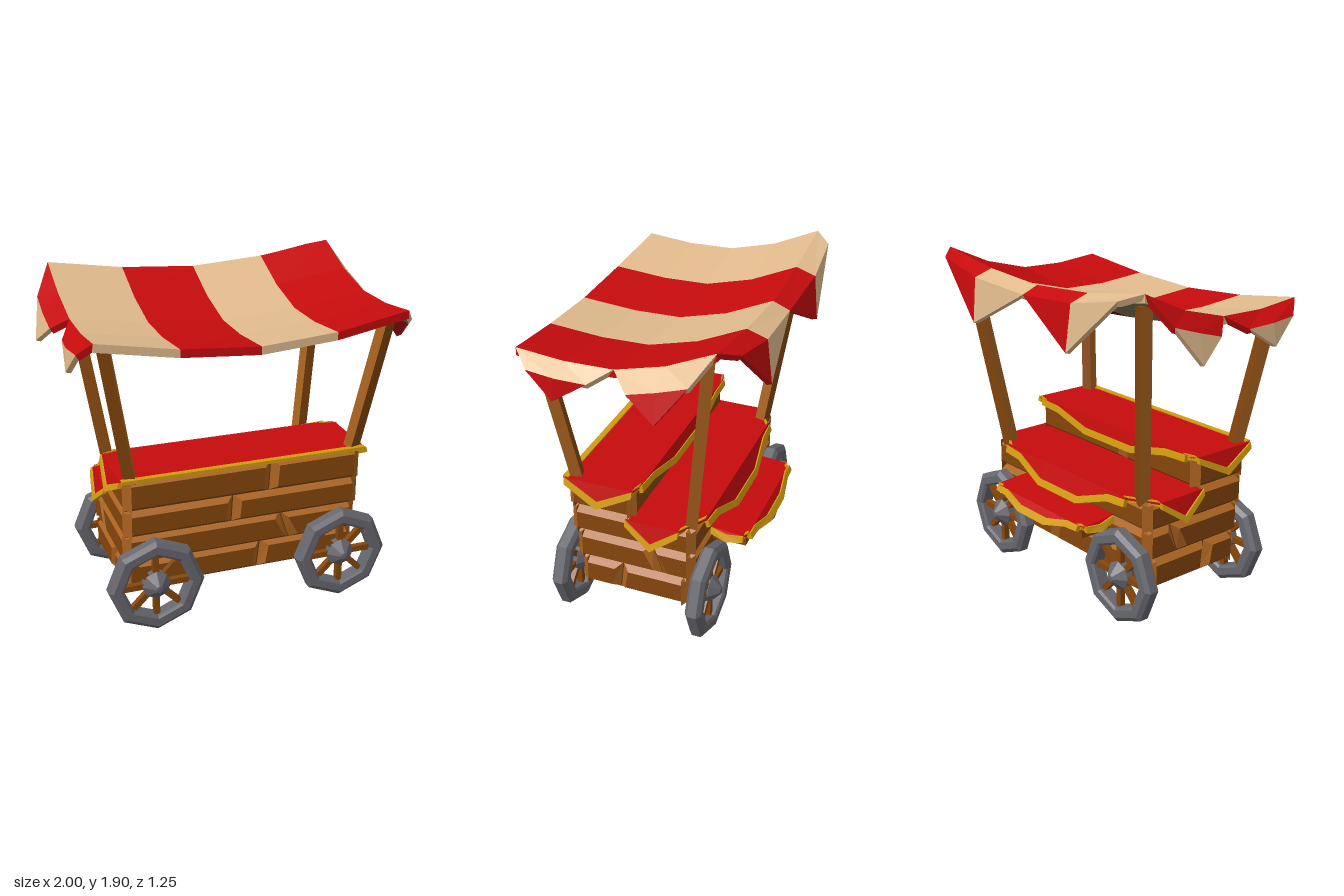
import * as THREE from 'three';

const material = (name, color, side = THREE.FrontSide) => {
  const m = new THREE.MeshStandardMaterial({ color, side });
  m.name = name;
  return m;
};
const wood = material('wood', 0x86460c);
const lightWood = material('light wood', 0xa9621f);
const darkWood = material('dark wood', 0x65390c);
const iron = material('iron', 0x66666e);
const red = material('red cloth', 0xc60b0c, THREE.DoubleSide);
const cream = material('cream cloth', 0xe0ba8c, THREE.DoubleSide);
const gold = material('gold trim', 0xd29c0e, THREE.DoubleSide);
const redUnder = material('red underside', 0x6a060a, THREE.DoubleSide);
const creamUnder = material('cream underside', 0x7c7058, THREE.DoubleSide);
const redSheet = [red, redUnder], creamSheet = [cream, creamUnder];

function flatMesh(geometry, mat, name, parent) {
  const g = geometry.index ? geometry.toNonIndexed() : geometry;
  g.computeVertexNormals();
  const mesh = new THREE.Mesh(g, mat);
  mesh.name = name;
  parent.add(mesh);
  return mesh;
}

// Thick sheet between polylines a and b, thickened by the vector off;
// mats holds the outer colour and the colour of the offset side
function slab(a, b, off, mats, name, parent) {
  const outer = [], inner = [];
  const add = (p) => p.map((v, i) => v + off[i]);
  const quad = (list, p, q, r, s) => list.push(...p, ...q, ...r, ...p, ...r, ...s);
  const n = a.length - 1;
  for (let i = 0; i < n; i++) {
    quad(outer, a[i], b[i], b[i + 1], a[i + 1]);
    quad(inner, add(a[i]), add(a[i + 1]), add(b[i + 1]), add(b[i]));
    quad(outer, a[i], a[i + 1], add(a[i + 1]), add(a[i]));
    quad(outer, b[i], add(b[i]), add(b[i + 1]), b[i + 1]);
  }
  quad(outer, a[0], add(a[0]), add(b[0]), b[0]);
  quad(outer, a[n], b[n], add(b[n]), add(a[n]));
  const g = new THREE.BufferGeometry();
  g.setAttribute('position', new THREE.Float32BufferAttribute([...outer, ...inner], 3));
  g.addGroup(0, outer.length / 3, 0);
  g.addGroup(outer.length / 3, inner.length / 3, 1);
  return flatMesh(g, mats, name, parent);
}

// Plank whose outer face (+z) is bevelled; skew slants its joint end
function plank(w, h, skew0, skew1) {
  const d = 0.042;
  const g = new THREE.BoxGeometry(w, h, d);
  const p = g.attributes.position;
  for (let i = 0; i < p.count; i++) {
    const x = p.getX(i), y = p.getY(i);
    let nx = x + (x > 0 ? skew1 : skew0) * Math.sign(y);
    if (p.getZ(i) > 0) {
      nx -= Math.sign(x) * d;
      p.setY(i, y - Math.sign(y) * 0.03);
    }
    p.setX(i, nx);
  }
  return g.translate(0, 0, -d / 2);
}

// One wall of a plank row, split at a joint (null for a single plank)
function plankWall(u0, u1, y0, y1, joint, skew, place, parent) {
  const cuts = joint === null ? [u0, u1] : [u0, joint, u1];
  for (let i = 0; i + 1 < cuts.length; i++) {
    const s0 = i > 0 ? skew : 0, s1 = i + 2 < cuts.length ? skew : 0;
    const g = plank(cuts[i + 1] - cuts[i], y1 - y0, s0, s1);
    g.translate((cuts[i] + cuts[i + 1]) / 2, (y0 + y1) / 2, 0);
    place(g);
    // worn light bevels around a darker face
    flatMesh(g, [lightWood, lightWood, lightWood, wood, wood, wood], 'plank', parent);
  }
}

function buildBody() {
  const body = new THREE.Group();
  body.name = 'body';
  const hx = 0.7;
  // y0, y1, front z, back z, front joint, joint slant, side joint, back joint
  const rows = [
    [0.21, 0.382, 0.37, -0.285, 0.11, 0.01, 0.13, -0.15],
    [0.382, 0.556, 0.395, -0.315, 0.26, -0.03, -0.09, 0.2],
    [0.556, 0.72, 0.42, -0.315, -0.07, 0.005, null, -0.2],
    [0.72, 0.908, 0.432, 0.03, 0.15, 0.005, null, 0.1],
  ];
  for (const [y0, y1, zf, zb, jf, skew, js, jb] of rows) {
    const core = new THREE.BoxGeometry(2 * hx - 0.078, y1 - y0, zf - zb - 0.078);
    core.translate(0, (y0 + y1) / 2, (zf + zb) / 2);
    flatMesh(core, darkWood, 'core', body);
    plankWall(-hx, hx, y0, y1, jf, skew, (g) => g.translate(0, 0, zf), body);
    plankWall(-hx, hx, y0, y1, jb, skew, (g) => g.rotateY(Math.PI).translate(0, 0, zb), body);
    for (const s of [1, -1]) {
      // local +x runs toward -z on the +x end and toward +z on the other
      const [u0, u1] = s > 0 ? [-zf, -zb] : [zb, zf];
      plankWall(u0, u1, y0, y1, js === null ? null : -s * js, skew,
        (g) => g.rotateY(s * Math.PI / 2).translate(s * hx, 0, 0), body);
    }
  }
  // Rear step board
  flatMesh(new THREE.BoxGeometry(0.78, 0.06, 0.24).translate(0, 0.515, -0.39), wood, 'step', body);
  return body;
}

// Hanging cloth edge ending in a thick gold hem; dir points outward
function drape(top, low, dir, parent) {
  const scaled = (k) => dir.map((v) => v * k);
  const shift = (p) => p.map((v, i) => v - 0.007 * dir[i]);
  const hem = low.map((p, i) => {
    const a = new THREE.Vector3(...p), b = new THREE.Vector3(...top[i]);
    return a.lerp(b, Math.min(1, 0.042 / a.distanceTo(b))).toArray();
  });
  slab(top, hem, scaled(0.008), [red, red], 'drape', parent);
  slab(hem.map(shift), low.map(shift), scaled(0.024), [gold, gold], 'hem', parent);
}

// Cloth over a shelf: pointed drapes at the ends, cut rear corners, dipping rear drape
function buildCover(name, { hx, bx, yf, yb, zf, zb, end, tip, out, backDrop, backOut }) {
  const cover = new THREE.Group();
  cover.name = name;
  const yAt = (z) => yf + (yb - yf) * (zf - z) / (zf - zb) + 0.012;
  const [e0, e1] = end, em = (e0 + e1) / 2;
  const edge = (s) => [[s * hx, yAt(zf), zf], [s * hx, yAt(e1), e1], [s * bx, yAt(zb), zb]];
  slab(edge(-1), edge(1), [0, -0.012, 0], [red, red], 'top', cover);
  for (const s of [1, -1]) {
    const x = s * hx;
    drape([[x, yAt(e0), e0], [x, yAt(em), em], [x, yAt(e1), e1]],
      [[x + s * 0.008, yAt(e0) - 0.035, e0], [x + s * out, tip, em], [x + s * 0.008, yAt(e1) - 0.035, e1]],
      [s, 0, 0], cover);
    // hem along the cut corner
    const corner = edge(s).slice(1).map(([cx, y, z]) => [cx, y + 0.006, z]);
    slab(corner, corner.map(([cx, y, z]) => [cx - s * 0.03, y, z]), [0, -0.03, 0], [gold, gold], 'hem', cover);
  }
  const shares = [-1, -0.75, -0.32, 0.32, 0.75, 1], dips = [0.3, 0.38, 1, 1, 0.38, 0.3];
  drape(shares.map((k) => [k * bx, yAt(zb), zb]),
    shares.map((k, i) => [k * bx, yAt(zb) - 0.012 - backDrop * dips[i], zb - backOut * dips[i]]),
    [0, 0.4, -0.9], cover);
  return cover;
}

function buildWheel(x, z) {
  const wheel = new THREE.Group();
  wheel.name = 'wheel';
  const lathe = (pts) => new THREE.LatheGeometry(pts.map((p) => new THREE.Vector2(...p)), 8).rotateX(Math.PI / 2);
  flatMesh(lathe([[0.19, -0.035], [0.205, -0.046], [0.25, -0.046], [0.276, -0.026], [0.276, 0.026],
    [0.25, 0.046], [0.205, 0.046], [0.19, 0.035], [0.19, -0.035]]), iron, 'rim', wheel);
  flatMesh(lathe([[0, -0.077], [0.02, -0.075], [0.083, -0.02], [0.083, 0.02], [0.02, 0.075], [0, 0.077]]),
    iron, 'hub', wheel);
  for (let i = 0; i < 8; i++) {
    const spoke = new THREE.BoxGeometry(0.034, 0.15, 0.034).translate(0, 0.13, 0).rotateZ(i * Math.PI / 4);
    flatMesh(spoke, wood, 'spoke', wheel);
  }
  wheel.position.set(x, 0.28, z);
  return wheel;
}

function buildPost(from, to, parent) {
  const a = new THREE.Vector3(...from), b = new THREE.Vector3(...to);
  const g = new THREE.BoxGeometry(0.064, a.distanceTo(b), 0.064).rotateY(0.3 * Math.sign(from[0]));
  const mesh = flatMesh(g, [lightWood, lightWood, wood, wood, wood, wood], 'post', parent);
  mesh.quaternion.setFromUnitVectors(new THREE.Vector3(0, 1, 0), b.clone().sub(a).normalize());
  mesh.position.copy(a).lerp(b, 0.5);
}

function buildCanopy() {
  const canopy = new THREE.Group();
  canopy.name = 'canopy';
  const zs = [0.575, 0.31, 0.04, -0.23, -0.49];
  const ys = [1.742, 1.715, 1.718, 1.787, 1.902];
  const sag = { 0: 0.092, 0.43: 0.064, 0.86: 0 };
  const bulge = { 0: 0.048, 0.43: 0.036, 0.86: 0 };
  const roof = (x, j) => [x, ys[j] - sag[Math.abs(x)], zs[j] + (j === 0 ? bulge[Math.abs(x)] : 0)];
  const xs = [-0.86, -0.43, 0, 0.43, 0.86];
  // Striped roof sheet
  for (let i = 0; i < 4; i++) {
    slab(zs.map((_, j) => roof(xs[i], j)), zs.map((_, j) => roof(xs[i + 1], j)),
      [0, -0.045, 0], i % 2 ? redSheet : creamSheet, 'stripe', canopy);
  }
  for (const s of [1, -1]) {
    // Two pointed flaps on each end
    const [upper, lower] = s > 0 ? [creamSheet, redSheet] : [redSheet, creamSheet];
    const flaps = [
      [0, [0.93, 1.665, 0.49], [0.945, 1.655, 0.325], [0.93, 1.645, 0.16], [0.955, 1.53, 0.34]],
      [2, [0.95, 1.645, -0.06], [0.955, 1.69, -0.22], [0.95, 1.74, -0.38], [1.0, 1.535, -0.225]],
    ];
    for (const [j, ...pts] of flaps) {
      const [m0, mm, m1, tip] = pts.map(([x, y, z]) => [s * x, y, z]);
      const e = s * 0.86;
      slab([roof(e, j), roof(e, j + 1), roof(e, j + 2)], [m0, mm, m1], [-s * 0.02, -0.03, 0], upper, 'end flap', canopy);
      slab([m0, mm, m1], [m0, tip, m1], [-s * 0.028, -0.008, 0], lower, 'end flap point', canopy);
    }
    // Half of the rear flap, with one point
    const [outer, inner] = s > 0 ? [redSheet, creamSheet] : [creamSheet, redSheet];
    const m0 = [s * 0.77, 1.865, -0.58], mm = [s * 0.43, 1.8, -0.6], mc = [0, 1.77, -0.585];
    const tip = [s * 0.42, 1.548, -0.628];
    const off = [0, -0.03, 0.02], offTip = [0, -0.008, 0.028];
    slab([roof(s * 0.86, 4), roof(s * 0.43, 4)], [m0, mm], off, outer, 'rear flap', canopy);
    slab([roof(s * 0.43, 4), roof(0, 4)], [mm, mc], off, inner, 'rear flap', canopy);
    slab([m0, mm], [m0, tip], offTip, outer, 'rear flap point', canopy);
    slab([mm, mc], [tip, mc], offTip, inner, 'rear flap point', canopy);
  }
  return canopy;
}

export function createModel() {
  const model = new THREE.Group();
  model.name = 'market cart';
  model.add(buildBody(), buildCanopy());

  // Cloth covers on the two shelves and the step
  const upper = buildCover('upper cover', { hx: 0.71, bx: 0.65, yf: 0.904, yb: 0.904, zf: 0.435, zb: 0.015,
    end: [0.43, 0.03], tip: 0.78, out: 0.035, backDrop: 0.1, backOut: 0.02 });
  flatMesh(new THREE.BoxGeometry(1.42, 0.02, 0.035).translate(0, 0.912, 0.425), gold, 'front trim', upper);
  const lower = buildCover('lower cover', { hx: 0.71, bx: 0.55, yf: 0.715, yb: 0.712, zf: 0.06, zb: -0.325,
    end: [0.075, -0.235], tip: 0.58, out: 0.035, backDrop: 0.13, backOut: 0.05 });
  const step = buildCover('step cover', { hx: 0.4, bx: 0.38, yf: 0.562, yb: 0.545, zf: -0.3, zb: -0.515,
    end: [-0.31, -0.5], tip: 0.51, out: 0.02, backDrop: 0.06, backOut: 0.045 });
  model.add(upper, lower, step);

  for (const s of [1, -1]) {
    buildPost([s * 0.65, 0.89, 0.38], [s * 0.79, 1.69, 0.475], model);
    buildPost([s * 0.61, 0.7, -0.27], [s * 0.775, 1.83, -0.42], model);
  }
  for (const x of [-0.54, 0.575]) model.add(buildWheel(x, 0.445), buildWheel(x, -0.36));
  return model;
}
